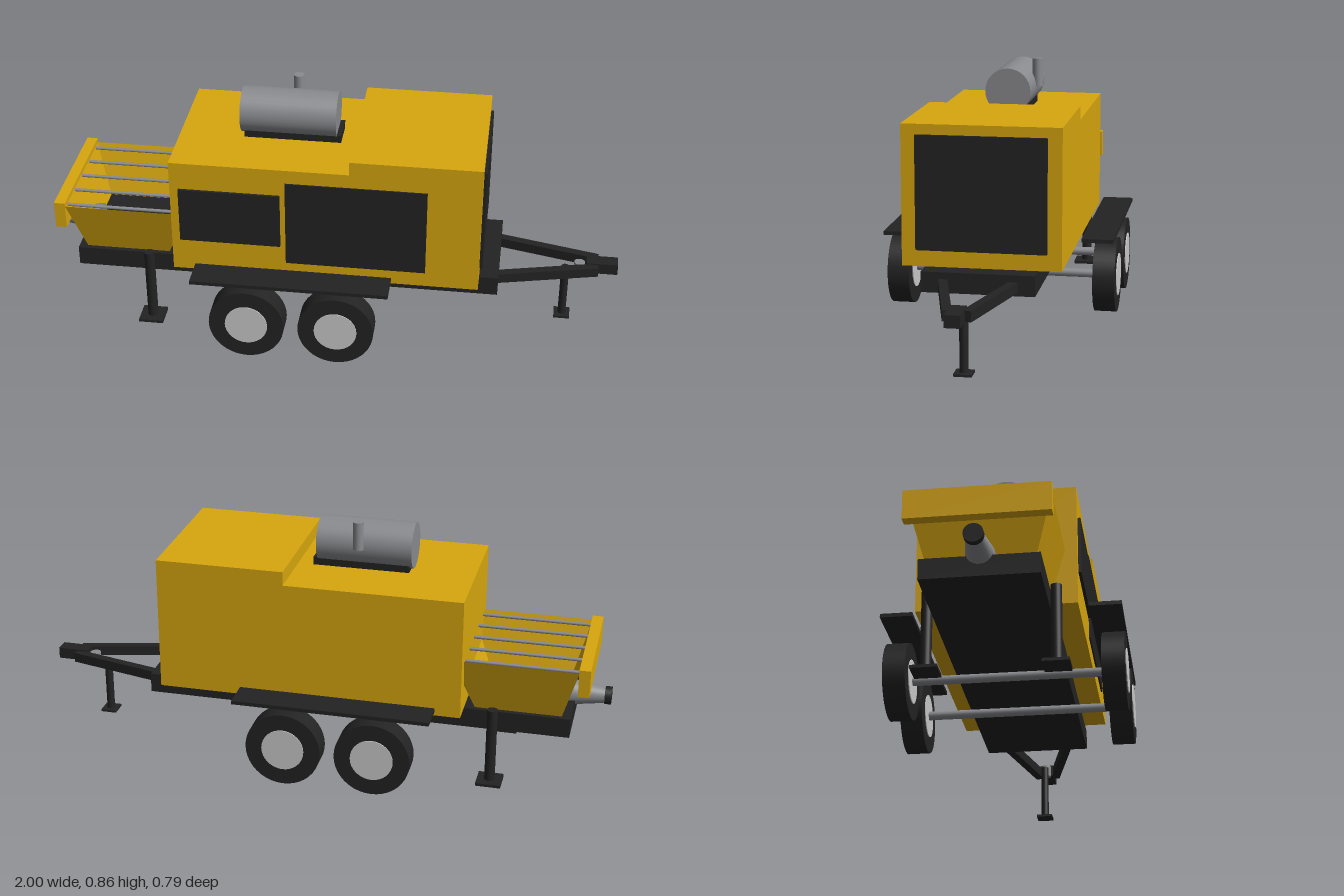
import * as THREE from 'three';

const mat = (name, color) => Object.assign(new THREE.MeshStandardMaterial({ color }), { name });

export function createModel() {
  const yellow = mat('yellow paint', 0xd8a70e);
  const black = mat('black steel', 0x232323);
  const grey = mat('grey metal', 0x8a8b8f);
  const silver = mat('silver rim', 0xcccccc);
  const hopperPaint = mat('hopper yellow', 0xd8a70e);
  hopperPaint.side = THREE.DoubleSide;

  const model = new THREE.Group();
  model.name = 'trailerPump';

  const add = (name, geometry, material, x = 0, y = 0, z = 0) => {
    const mesh = new THREE.Mesh(geometry, material);
    mesh.name = name;
    mesh.position.set(x, y, z);
    model.add(mesh);
    return mesh;
  };
  // box given by its extents
  const box = (name, material, x0, x1, y0, y1, z0, z1) =>
    add(name, new THREE.BoxGeometry(x1 - x0, y1 - y0, z1 - z0), material,
      (x0 + x1) / 2, (y0 + y1) / 2, (z0 + z1) / 2);
  // cylinder along an axis, r0 at the negative end and r1 at the positive end
  const rod = (name, material, axis, length, r0, r1, x, y, z, sides = 32) => {
    const g = new THREE.CylinderGeometry(r1, r0, length, sides);
    if (axis === 'x') g.rotateZ(-Math.PI / 2);
    if (axis === 'z') g.rotateX(Math.PI / 2);
    return add(name, g, material, x, y, z);
  };

  // chassis and stepped engine housing
  box('chassis', black, -0.88, 0.59, 0.19, 0.258, -0.185, 0.185);
  const profile = new THREE.Shape([
    [-0.522, 0.258], [0.525, 0.258], [0.525, 0.724], [0.085, 0.724], [0.085, 0.676], [-0.522, 0.676],
  ].map(([x, y]) => new THREE.Vector2(x, y)));
  const housing = new THREE.ExtrudeGeometry(profile, { depth: 0.522, bevelEnabled: false });
  add('housing', housing, yellow, 0, 0, -0.261);

  // grille panels
  box('sideGrilleSmall', black, -0.492, -0.148, 0.38, 0.578, 0.255, 0.271);
  box('sideGrilleLarge', black, -0.13, 0.345, 0.313, 0.627, 0.255, 0.266);
  box('endGrille', black, 0.52, 0.535, 0.313, 0.69, -0.214, 0.214);

  // muffler with saddle and exhaust stack
  box('mufflerSaddle', black, -0.3, 0.032, 0.67, 0.703, -0.055, 0.055);
  rod('muffler', grey, 'x', 0.328, 0.079, 0.079, -0.147, 0.757, 0);
  rod('exhaustStack', grey, 'y', 0.098, 0.018, 0.018, -0.13, 0.806, -0.082, 20);

  // open hopper: four sloping walls between two rectangles
  const ring = (x0, x1, y, z) => [[x0, y, z], [x1, y, z], [x1, y, -z], [x0, y, -z]];
  const low = ring(-0.85, -0.557, 0.258, 0.168);
  const high = ring(-0.903, -0.48, 0.448, 0.222);
  const walls = [];
  for (let i = 0; i < 4; i++) {
    const j = (i + 1) % 4;
    walls.push(...low[i], ...low[j], ...high[j], ...low[i], ...high[j], ...high[i]);
  }
  const hopper = new THREE.BufferGeometry();
  hopper.setAttribute('position', new THREE.Float32BufferAttribute(walls, 3));
  hopper.computeVertexNormals();
  add('hopperWalls', hopper, hopperPaint);
  box('hopperFloor', black, -0.849, -0.558, 0.256, 0.262, -0.167, 0.167);
  box('hopperLip', yellow, -0.94, -0.902, 0.366, 0.462, -0.226, 0.226);
  for (let i = -2; i <= 2; i++) {
    rod('grateBar', grey, 'x', 0.4, 0.006, 0.006, -0.71, 0.44, i * 0.097, 10);
  }

  // tapered outlet pipe
  rod('outletPipe', grey, 'x', 0.145, 0.027, 0.049, -0.908, 0.272, 0);
  rod('outletCollar', black, 'x', 0.022, 0.031, 0.031, -0.989, 0.272, 0);

  // axles and wheels
  for (const x of [-0.25, 0.056]) {
    rod('axle', grey, 'z', 0.66, 0.015, 0.015, x, 0.134, 0, 20);
    for (const side of [-1, 1]) {
      rod('tyre', black, 'z', 0.075, 0.129, 0.129, x, 0.134, side * 0.356, 40);
      rod('rim', silver, 'z', 0.081, 0.073, 0.073, x, 0.134, side * 0.356);
    }
  }

  // mudguards, stabiliser legs and drawbar arms on both sides
  for (const side of [-1, 1]) {
    add('mudguard', new THREE.BoxGeometry(0.672, 0.013, 0.107), black, -0.104, 0.291, side * 0.34);
    rod('stabiliserLeg', black, 'y', 0.268, 0.018, 0.018, -0.622, 0.139, side * 0.203, 20);
    add('stabiliserFoot', new THREE.BoxGeometry(0.086, 0.01, 0.086), black, -0.622, 0.005, side * 0.203);

    const a = new THREE.Vector2(0.57, side * 0.118);
    const b = new THREE.Vector2(0.93, side * 0.03);
    const arm = add('drawbarArm', new THREE.BoxGeometry(a.distanceTo(b), 0.035, 0.03), black,
      (a.x + b.x) / 2, 0.218, (a.y + b.y) / 2);
    arm.rotation.y = -Math.atan2(b.y - a.y, b.x - a.x);
  }

  // coupler, hitch pin and jockey leg
  box('coupler', black, 0.89, 1.0, 0.2, 0.24, -0.025, 0.025);
  rod('hitchPin', grey, 'y', 0.04, 0.019, 0.019, 0.868, 0.207, 0, 20);
  rod('jockeyLeg', black, 'y', 0.2, 0.014, 0.014, 0.82, 0.105, 0, 20);
  box('jockeyFoot', black, 0.792, 0.848, 0, 0.008, -0.029, 0.029);

  return model;
}
